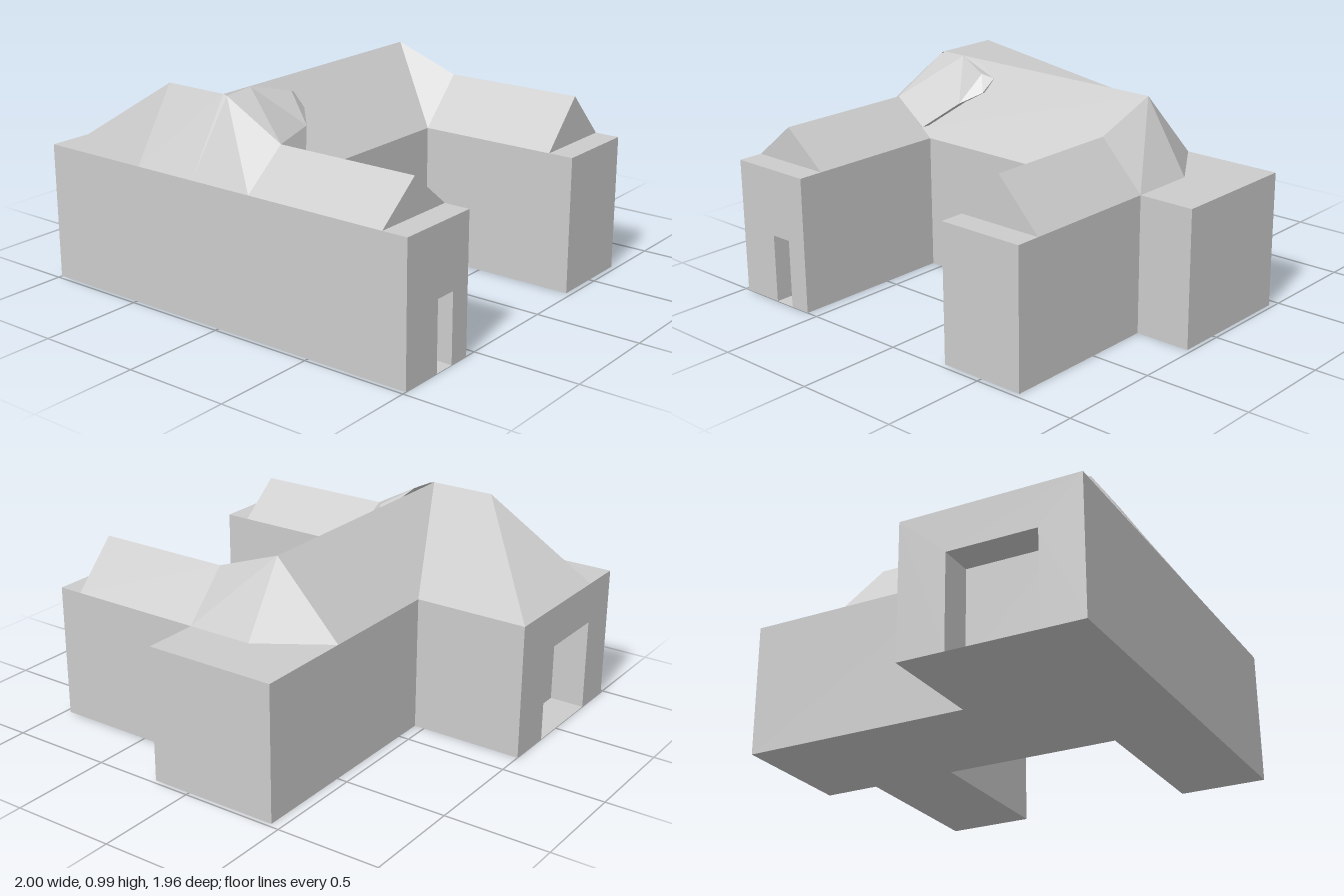
import * as THREE from 'three';

const EAVE = 0.645, TOP = 0.98;

const wallMat = new THREE.MeshStandardMaterial({ color: 0xcccccc, flatShading: true });
const openMat = new THREE.MeshStandardMaterial({ color: 0xcccccc, flatShading: true, side: THREE.DoubleSide });

// Building outline as [x, z]; every wall runs left to right as seen from outside
const outline = [
  [-1, 0.98], [1, 0.98], [1, 0.56], [0.19, 0.56], [0.19, -0.29], [0.975, -0.29],
  [0.975, -0.71], [0.19, -0.71], [0.19, -0.98], [-0.45, -0.98], [-0.45, 0.135], [-1, 0.135],
];

// Doorways by wall index: start and end along the wall, height, depth
const doors = {
  1: { from: 0.21, to: 0.315, h: 0.325, depth: 0.17 },
  11: { from: 0.225, to: 0.645, h: 0.445, depth: 0.17 },
};

function mesh(name, geometry, material) {
  const m = new THREE.Mesh(geometry, material);
  m.name = name;
  return m;
}

function shapeOf(points) {
  return new THREE.Shape(points.map(([x, y]) => new THREE.Vector2(x, y)));
}

// Flat-faced open surface made of convex polygons
function faces(name, polygons) {
  const pos = [];
  for (const p of polygons) {
    for (let i = 1; i < p.length - 1; i++) pos.push(...p[0], ...p[i], ...p[i + 1]);
  }
  const geo = new THREE.BufferGeometry();
  geo.setAttribute('position', new THREE.Float32BufferAttribute(pos, 3));
  geo.computeVertexNormals();
  return mesh(name, geo, openMat);
}

// Jambs, ceiling and back of a doorway; the base serves as its floor
function doorRecess({ from, to, h, depth }) {
  return faces('doorRecess', [
    [[from, 0, 0], [from, 0, -depth], [from, h, -depth], [from, h, 0]],
    [[to, 0, -depth], [to, 0, 0], [to, h, 0], [to, h, -depth]],
    [[from, h, -depth], [to, h, -depth], [to, h, 0], [from, h, 0]],
    [[from, 0, -depth], [to, 0, -depth], [to, h, -depth], [from, h, -depth]],
  ]);
}

// One upright wall, with a recessed doorway if given
function wall(a, b, door) {
  const g = new THREE.Group();
  const dx = b[0] - a[0], dz = b[1] - a[1], length = Math.hypot(dx, dz);
  const points = [[0, 0]];
  if (door) {
    points.push([door.from, 0], [door.from, door.h], [door.to, door.h], [door.to, 0]);
    g.add(doorRecess(door));
  }
  points.push([length, 0], [length, EAVE], [0, EAVE]);
  g.add(mesh('wallPanel', new THREE.ShapeGeometry(shapeOf(points)), wallMat));
  g.position.set(a[0], 0, a[1]);
  g.rotation.y = Math.atan2(-dz, dx);
  g.name = 'wall';
  return g;
}

const eave = (x, z) => [x, EAVE, z];

// Gabled wing roof running along x, with an upright gable at its outer end
function wingRoof(name, x1, zBack, zFront, ridgeY) {
  const x0 = 0.19, z = (zBack + zFront) / 2;
  const r0 = [x0, ridgeY, z], r1 = [x1, ridgeY, z];
  return faces(name, [
    [eave(x0, zFront), eave(x1, zFront), r1, r0],
    [eave(x1, zBack), eave(x0, zBack), r0, r1],
    [eave(x1, zFront), eave(x1, zBack), r1],
  ]);
}

export function createModel() {
  const model = new THREE.Group();
  model.name = 'house';

  // Walls, flat deck at eave level and base
  const walls = new THREE.Group();
  walls.name = 'walls';
  outline.forEach((a, i) => walls.add(wall(a, outline[(i + 1) % outline.length], doors[i])));
  model.add(walls);
  const deck = new THREE.ShapeGeometry(shapeOf(outline.map(([x, z]) => [x, -z])));
  deck.rotateX(-Math.PI / 2);
  deck.translate(0, EAVE, 0);
  model.add(mesh('deck', deck, openMat));
  const base = new THREE.ShapeGeometry(shapeOf(outline));
  base.rotateX(Math.PI / 2);
  model.add(mesh('base', base, openMat));

  // Wing roofs
  model.add(wingRoof('backWingRoof', 0.857, -0.71, -0.29, 0.865));
  model.add(wingRoof('frontWingRoof', 0.88, 0.56, 0.98, 0.815));

  // Main ridge points and where the wing ridges start
  const back = [-0.13, TOP, -0.5], front = [-0.13, TOP, 0.77], west = [-0.45, TOP, 0.77];
  const backWing = [0.19, 0.865, -0.5], frontWing = [0.19, 0.815, 0.77];
  const hoodFoot = [-0.11, 0.975, 0.77];

  // Long central roof with its cut-corner hip at the back
  model.add(faces('mainRoof', [
    [eave(-0.45, -0.5), eave(-0.45, 0.135), front, back],
    [eave(0.19, 0.77), eave(0.19, -0.29), back, front],
    [eave(-0.13, -0.71), eave(-0.45, -0.5), back],
    [eave(0.19, -0.71), eave(-0.13, -0.71), back],
    [eave(0.19, -0.71), back, backWing],
    [eave(0.19, -0.29), backWing, back],
  ]));

  // Hipped roof over the front corner block
  model.add(faces('cornerRoof', [
    [eave(-0.45, 0.135), eave(-1, 0.135), west, front],
    [eave(-1, 0.135), eave(-1, 0.77), west],
    [eave(-1, 0.77), eave(-0.45, 0.98), west],
    [eave(-0.45, 0.98), eave(-0.13, 0.98), front, west],
    [eave(-0.13, 0.98), hoodFoot, front],
    [eave(-0.13, 0.98), eave(0.19, 0.98), hoodFoot],
    [eave(0.19, 0.98), frontWing, hoodFoot],
  ]));

  // Faceted hood bulging from the inner corner of the front wing
  const crown = [-0.11, 0.985, 0.62], brow = [-0.04, 0.94, 0.43];
  const rim = [[-0.11, 0.965, 0.5], [-0.07, 0.92, 0.38], [0, 0.86, 0.39], [0.08, 0.81, 0.47], [0.19, 0.69, 0.61]];
  const hood = [
    [hoodFoot, frontWing, crown],
    [crown, frontWing, rim[3]],
    [frontWing, rim[4], rim[3]],
    [crown, rim[3], brow],
    [crown, brow, rim[1], rim[0]],
    [brow, rim[2], rim[1]],
    [brow, rim[3], rim[2]],
    [eave(0.19, 0.77), eave(0.19, 0.61), rim[4], frontWing],
  ];
  // Soffit running level from the hood rim back to the slope
  const toSlope = ([, y, z]) => [-0.13 + (TOP - y) * 0.32 / (TOP - EAVE), y, z];
  for (let i = 1; i < rim.length - 1; i++) {
    hood.push([toSlope(rim[i + 1]), toSlope(rim[i]), rim[i], rim[i + 1]]);
  }
  model.add(faces('cornerHood', hood));

  return model;
}
